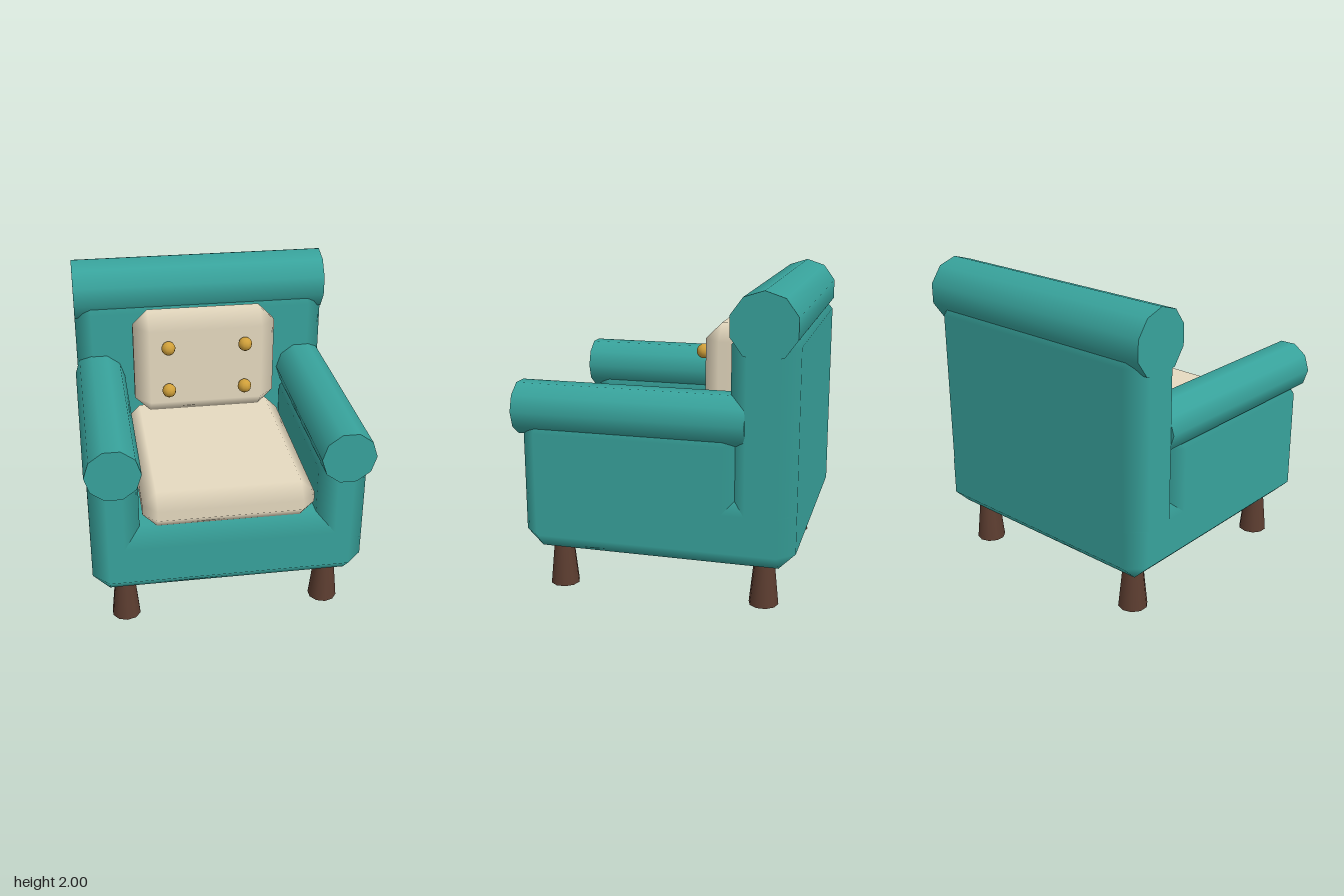
import * as THREE from 'three';

const fabric = new THREE.MeshStandardMaterial({ color: 0x38a39c });
const cream = new THREE.MeshStandardMaterial({ color: 0xe6dac0 });
const gold = new THREE.MeshStandardMaterial({ color: 0xd0a03a });
const wood = new THREE.MeshStandardMaterial({ color: 0x5c3d30 });

// Box between two corners with one-step chamfers: flat faces, softly shaded chamfers.
function chamferBox(min, max, c) {
  const mid = min.map((v, i) => (v + max[i]) / 2);
  const half = min.map((v, i) => (max[i] - v) / 2);
  const pos = [], nor = [], index = [];
  const signs = [-1, 1];
  // vertex id: axis * 8 + corner bits
  for (let a = 0; a < 3; a++) {
    for (let k = 0; k < 8; k++) {
      for (let i = 0; i < 3; i++) {
        const s = signs[(k >> i) & 1];
        pos.push(s * (half[i] - (i === a ? 0 : c)));
        nor.push(i === a ? s : 0);
      }
    }
  }
  const point = (i) => new THREE.Vector3().fromArray(pos, i * 3);
  const tri = (i, j, k) => {
    const [p, q, r] = [point(i), point(j), point(k)];
    const n = q.clone().sub(p).cross(r.clone().sub(p));
    if (n.dot(p.add(q).add(r)) > 0) index.push(i, j, k);
    else index.push(i, k, j);
  };
  const quad = (i, j, k, l) => { tri(i, j, k); tri(i, k, l); };
  for (let a = 0; a < 3; a++) {
    const b = (a + 1) % 3, d = (a + 2) % 3;
    const A = 1 << a, B = 1 << b, D = 1 << d;
    // main faces
    for (const s of [0, A]) quad(a * 8 + s, a * 8 + s + B, a * 8 + s + B + D, a * 8 + s + D);
    // chamfers between faces a and b, running along d
    for (const s of [0, A, B, A + B]) quad(a * 8 + s, a * 8 + s + D, b * 8 + s + D, b * 8 + s);
  }
  for (let k = 0; k < 8; k++) tri(k, 8 + k, 16 + k);

  const g = new THREE.BufferGeometry();
  g.setAttribute('position', new THREE.Float32BufferAttribute(pos, 3));
  g.setAttribute('normal', new THREE.Float32BufferAttribute(nor, 3));
  g.setIndex(index);
  return g.translate(...mid);
}

// Ten-sided bolster, standing on y until rotated
const bolster = (r, length) =>
  new THREE.CylinderGeometry(r, r, length, 10, 1, false, Math.PI / 2);

export function createModel() {
  const model = new THREE.Group();
  const add = (name, geometry, material, x = 0, y = 0, z = 0) => {
    const mesh = new THREE.Mesh(geometry, material);
    mesh.name = name;
    mesh.position.set(x, y, z);
    model.add(mesh);
  };

  // Upholstered frame
  add('base', chamferBox([-0.875, 0.285, -0.89], [0.875, 0.74, 0.86], 0.105), fabric);
  add('backrest', chamferBox([-0.875, 0.42, -0.89], [0.875, 1.775, -0.475], 0.11), fabric);
  add('backrestRoll', bolster(0.21, 1.75).rotateZ(Math.PI / 2), fabric, 0, 1.79, -0.685);

  for (const [side, s] of [['left', 1], ['right', -1]]) {
    // Arms with round rolls on top
    const inner = s * 0.565, outer = s * 0.875;
    add(side + 'Arm', chamferBox([Math.min(inner, outer), 0.42, -0.545],
      [Math.max(inner, outer), 1.165, 0.86], 0.105), fabric);
    add(side + 'ArmRoll', bolster(0.1725, 1.475).rotateX(Math.PI / 2), fabric, s * 0.72, 1.195, 0.157);

    // Tapered legs
    for (const [end, z] of [['Front', 0.65], ['Back', -0.68]]) {
      add(side + end + 'Leg', new THREE.CylinderGeometry(0.064, 0.095, 0.3, 10), wood, s * 0.667, 0.15, z);
    }

    // Cushion buttons
    for (const [row, y] of [['Upper', 1.515], ['Lower', 1.2]]) {
      add(side + row + 'Button', new THREE.SphereGeometry(0.048, 10, 8), gold, s * 0.263, y, -0.19);
    }
  }

  // Cushions
  add('seatCushion', chamferBox([-0.545, 0.74, -0.51], [0.545, 0.985, 0.857], 0.089), cream);
  add('backCushion', chamferBox([-0.49, 0.985, -0.492], [0.49, 1.725, -0.23], 0.104), cream);

  return model;
}
